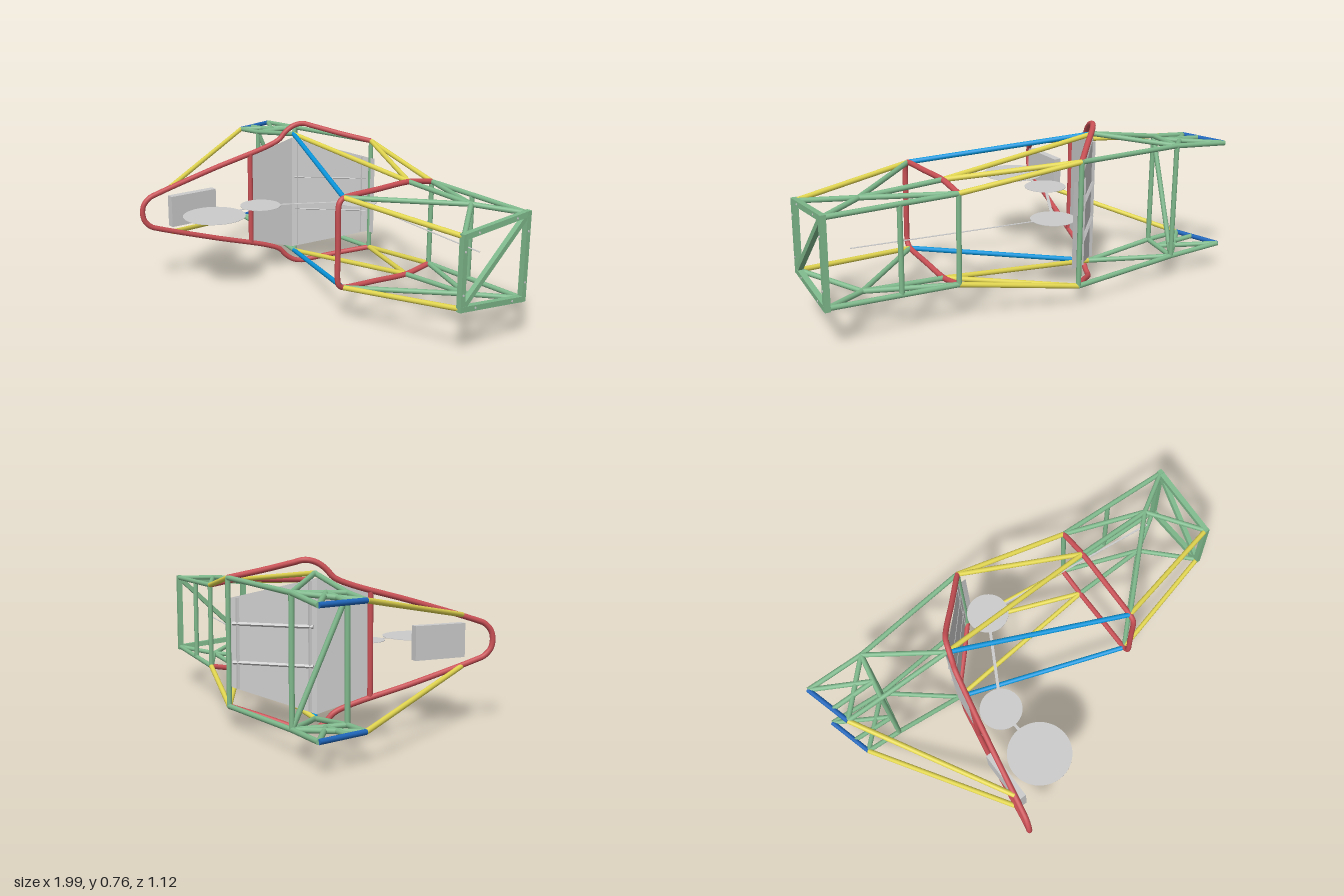
import * as THREE from 'three';

const MID = 0.384; // the frame is symmetric about this height
const mat = (color, extra = {}) => new THREE.MeshStandardMaterial({ color, ...extra });

export function createModel() {
  const root = new THREE.Group();
  const red = mat(0xc85055), green = mat(0x7fb98c), yellow = mat(0xe2d650);
  const sky = mat(0x0a96dc), blue = mat(0x1f66bb), grey = mat(0xcccccc);
  const sheet = mat(0xcccccc, { side: THREE.DoubleSide, flatShading: true });

  // Frame nodes: x, z, half width
  const N = {
    tailLow: [-0.98, -0.5, 0.25], tailHigh: [-0.918, -0.275, 0.25],
    tailMid: [-0.94, -0.36, 0.25], boxMid: [-0.73, -0.355, 0.265],
    boxLow: [-0.705, -0.49, 0.268], boxHigh: [-0.745, -0.27, 0.262],
    hoopFoot: [-0.14, -0.55, 0.283], side: [-0.4, -0.255, 0.312],
    brace: [-0.52, 0.4, 0.115], shoulder: [-0.445, -0.015, 0.235],
    floorFront: [0.4, -0.455, 0.2], frontMid: [0.4, -0.31, 0.222],
    frontTop: [0.39, 0.06, 0.207], floorMid: [0.66, -0.448, 0.193],
    noseNode: [0.78, -0.315, 0.203],
    noseLow: [0.98, -0.44, 0.189], noseHigh: [0.97, -0.08, 0.154],
  };
  const at = (n, s) => new THREE.Vector3(N[n][0], MID + s * N[n][2], N[n][1]);

  const add = (name, geo, m, parent = root) => {
    const mesh = new THREE.Mesh(geo, m);
    mesh.name = name;
    parent.add(mesh);
    return mesh;
  };
  const bar = (name, a, b, m, r = 0.0115, square = false) => {
    const len = a.distanceTo(b);
    const geo = square ? new THREE.BoxGeometry(r * 2, len, r * 2) : new THREE.CylinderGeometry(r, r, len, 14);
    const mesh = add(name, geo, m);
    mesh.position.copy(a).lerp(b, 0.5);
    mesh.quaternion.setFromUnitVectors(new THREE.Vector3(0, 1, 0), b.clone().sub(a).normalize());
    return mesh;
  };

  // Side tubes, mirrored on both sides
  const sideTubes = [
    ['rearLowerRail', 'tailLow', 'boxLow', green], ['rearLowerRail', 'boxLow', 'hoopFoot', green],
    ['rearUpperRail', 'tailHigh', 'boxHigh', green], ['rearUpperRail', 'boxHigh', 'side', green],
    ['rearPost', 'boxLow', 'boxHigh', green], ['rearDiagonal', 'boxLow', 'side', green],
    ['rearMidRail', 'tailMid', 'boxMid', green], ['tailDiagonal', 'boxLow', 'tailHigh', green],
    ['tailDiagonal', 'tailLow', 'boxMid', green], ['tailPost', 'tailLow', 'tailHigh', blue],
    ['hoopBrace', 'tailHigh', 'brace', yellow], ['floorRail', 'hoopFoot', 'floorFront', yellow],
    ['sideDiagonal', 'hoopFoot', 'frontMid', yellow], ['sideRail', 'side', 'frontMid', yellow],
    ['upperSideRail', 'side', 'frontTop', sky], ['noseUpperRail', 'frontTop', 'noseHigh', yellow],
    ['noseFloorRail', 'floorFront', 'noseLow', green], ['noseMidRail', 'frontMid', 'noseNode', green],
    ['noseDiagonal', 'floorFront', 'noseNode', green], ['noseDiagonal', 'noseNode', 'noseHigh', green],
    ['noseDiagonal', 'noseNode', 'noseLow', green], ['noseDiagonal', 'noseNode', 'frontTop', green],
  ];
  for (const s of [1, -1])
    for (const [name, a, b, m] of sideTubes) bar(name, at(a, s), at(b, s), m);

  // Cross tubes joining the sides
  for (const n of ['boxLow', 'boxHigh', 'hoopFoot', 'floorFront', 'floorMid'])
    bar('crossTube', at(n, -1), at(n, 1), green);
  bar('rearCrossDiagonal', at('boxHigh', 1), at('boxLow', -1), green);
  bar('shoulderBar', at('shoulder', -1), at('shoulder', 1), red, 0.0125);

  // Square-section front bulkhead with bolts
  const bulkhead = [['noseLow', -1], ['noseLow', 1], ['noseHigh', 1], ['noseHigh', -1]].map(([n, s]) => at(n, s));
  bulkhead.forEach((a, i) => {
    const b = bulkhead[(i + 1) % 4];
    bar('bulkheadBar', a, b, green, 0.0125, true);
    for (const t of [0.2, 0.8]) {
      const bolt = add('bulkheadBolt', new THREE.CylinderGeometry(0.005, 0.005, 0.003, 10), grey);
      bolt.rotation.z = Math.PI / 2;
      bolt.position.copy(a).lerp(b, t).add(new THREE.Vector3(0.0132, 0, 0));
    }
    const corner = add('bulkheadCorner', new THREE.BoxGeometry(0.025, 0.025, 0.025), green);
    corner.position.copy(a);
  });
  bar('bulkheadDiagonal', bulkhead[3], bulkhead[1], green, 0.0115, true);

  // Bent hoops: half path as [x, half width, z], mirrored
  const hoop = (name, half, r) => {
    const up = half.map(([x, h, z]) => new THREE.Vector3(x, MID + h, z));
    const down = half.map(([x, h, z]) => new THREE.Vector3(x, MID - h, z)).reverse();
    const curve = new THREE.CatmullRomCurve3([...up, ...down], false, 'centripetal');
    add(name, new THREE.TubeGeometry(curve, 260, r, 14), red);
  };
  hoop('mainHoop', [
    [-0.14, 0.283, -0.55], [-0.25, 0.32, -0.43], [-0.345, 0.355, -0.33], [-0.375, 0.367, -0.29],
    [-0.392, 0.357, -0.245], [-0.405, 0.328, -0.205], [-0.415, 0.293, -0.175], [-0.428, 0.263, -0.11],
    [-0.48, 0.182, 0.17], [-0.53, 0.088, 0.47], [-0.537, 0.073, 0.507], [-0.545, 0.042, 0.535], [-0.548, 0.012, 0.543],
  ], 0.0128);
  hoop('frontHoop', [
    [0.4, 0.2, -0.455], [0.4, 0.213, -0.38], [0.4, 0.222, -0.31], [0.395, 0.215, -0.12],
    [0.39, 0.208, 0.05], [0.39, 0.203, 0.068], [0.39, 0.19, 0.083], [0.39, 0.165, 0.09], [0.39, 0.05, 0.09],
  ], 0.0125);

  // Folded seat-back panel from cross-sections [x, z, half width]
  const panel = [[-0.445, -0.015, 0.22], [-0.41, -0.25, 0.292], [-0.15, -0.54, 0.197], [-0.105, -0.546, 0.197]];
  const pos = [], idx = [];
  panel.forEach(([x, z, h], i) => {
    pos.push(x, MID + h, z, x, MID - h, z);
    if (i) idx.push(2 * i - 2, 2 * i - 1, 2 * i, 2 * i, 2 * i - 1, 2 * i + 1);
  });
  const panelGeo = new THREE.BufferGeometry();
  panelGeo.setAttribute('position', new THREE.Float32BufferAttribute(pos, 3));
  panelGeo.setIndex(idx);
  panelGeo.computeVertexNormals();
  add('seatBackPanel', panelGeo, sheet);

  // Ribs behind the panel
  for (const s of [1, -1])
    bar('panelRib', new THREE.Vector3(-0.405, MID + s * 0.085, -0.265),
      new THREE.Vector3(-0.16, MID + s * 0.085, -0.538), grey, 0.006, true);
  for (const [x, z, h] of [[-0.395, -0.275, 0.28], [-0.175, -0.52, 0.2]])
    bar('panelStiffener', new THREE.Vector3(x, MID - h, z), new THREE.Vector3(x, MID + h, z), grey, 0.006, true);

  // Headrest pad
  add('headrest', new THREE.BoxGeometry(0.037, 0.152, 0.25), grey).position.set(-0.494, MID, 0.297);

  // Flat driver template: discs and links in the middle plane
  const template = new THREE.Group();
  template.name = 'driverTemplate';
  root.add(template);
  const discs = [[-0.085, -0.418, 0.1], [-0.318, 0.012, 0.1], [-0.302, 0.29, 0.15]];
  for (const [x, z, r] of discs)
    add('templateDisc', new THREE.CylinderGeometry(r, r, 0.002, 48), grey, template).position.set(x, MID, z);
  const links = [[0.83, -0.33], ...discs];
  for (let i = 0; i < 3; i++) {
    const [ax, az] = links[i], [bx, bz] = links[i + 1];
    const link = add('templateLink', new THREE.BoxGeometry(Math.hypot(bx - ax, bz - az), 0.002, i ? 0.014 : 0.009), grey, template);
    link.position.set((ax + bx) / 2, MID, (az + bz) / 2);
    link.rotation.y = -Math.atan2(bz - az, bx - ax);
  }
  return root;
}
